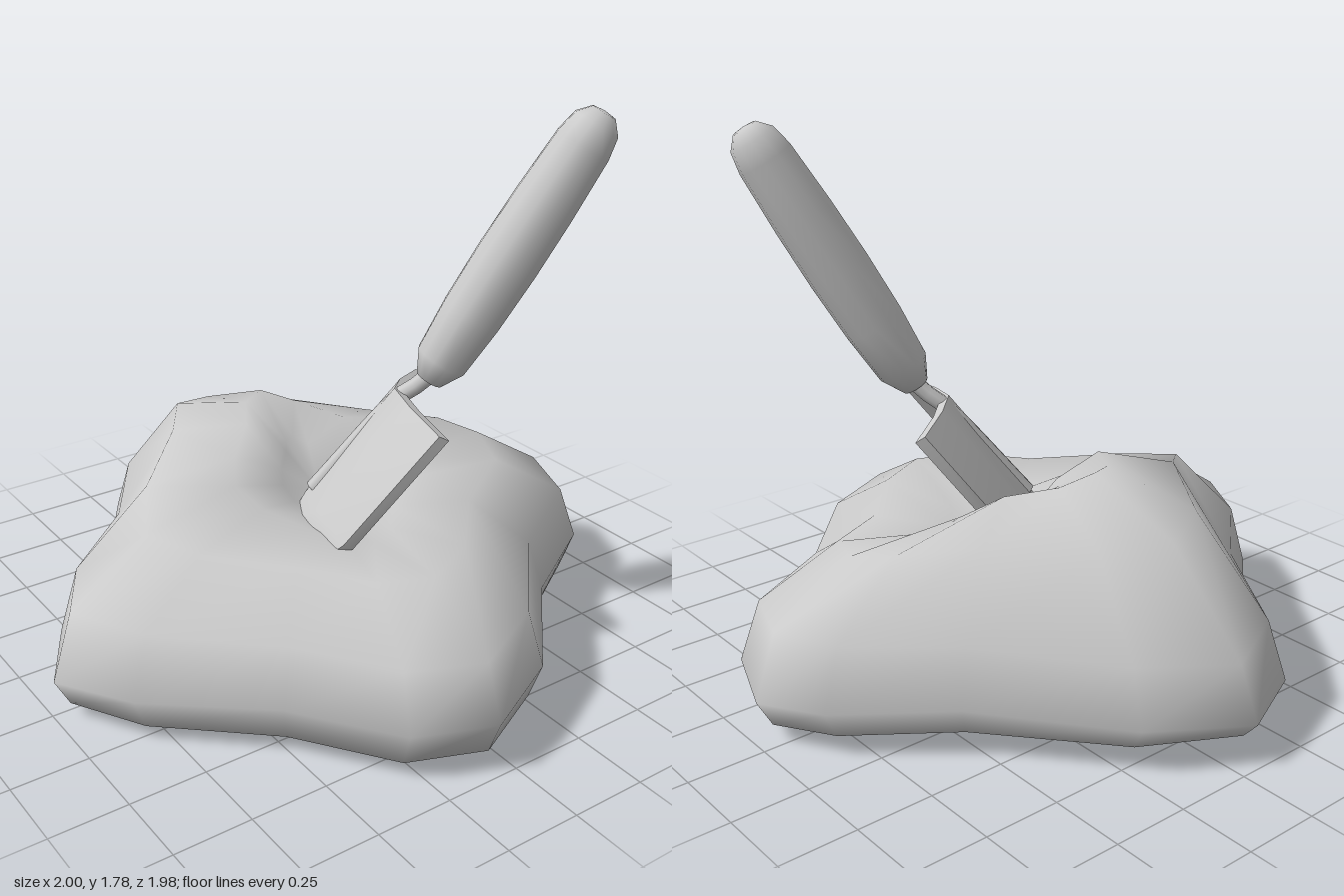
import * as THREE from 'three';
import { mergeVertices, toCreasedNormals } from 'three/addons/utils/BufferGeometryUtils.js';

const V = (x, y, z) => new THREE.Vector3(x, y, z);

// Indexed skin over a stack of closed rings of equal length
function skin(rings) {
  const n = rings[0].length, index = [];
  for (let i = 0; i + 1 < rings.length; i++) {
    for (let j = 0; j < n; j++) {
      const a = i * n + j, b = i * n + (j + 1) % n;
      index.push(a, a + n, b, b, a + n, b + n);
    }
  }
  const g = new THREE.BufferGeometry().setFromPoints(rings.flat());
  g.setIndex(index);
  const merged = mergeVertices(g, 1e-4);
  merged.computeVertexNormals();
  return merged;
}

// Place an upright geometry so that its base is at "from" and its axis points to "to"
function aim(mesh, from, to) {
  mesh.position.copy(from);
  mesh.quaternion.setFromUnitVectors(V(0, 1, 0), to.clone().sub(from).normalize());
}

// Plan outline of the sack, from the back corner round by the +x corner
const outline = [
  [-0.06, -0.99], [0.24, -0.82], [0.58, -0.42], [0.89, -0.17],
  [1.0, 0.03], [0.91, 0.28], [0.55, 0.5], [0.24, 0.84],
  [-0.06, 0.99], [-0.31, 0.89], [-0.53, 0.58], [-0.86, 0.28],
  [-1.0, 0.03], [-0.86, -0.21], [-0.56, -0.48], [-0.31, -0.88],
];

// Ring scale, then heights in eight directions: back, back +x, +x, front +x, front, front -x, -x, back -x
const levels = [
  [0, [0.02]],
  [0.72, [0.04, 0.03, 0, 0.01, 0.01, 0.02, 0.02, 0.03]],
  [0.95, [0.085, 0.08, 0.06, 0.04, 0.05, 0.05, 0.045, 0.06]],
  [1, [0.14, 0.17, 0.15, 0.17, 0.17, 0.17, 0.14, 0.16]],
  [0.93, [0.31, 0.35, 0.36, 0.34, 0.34, 0.35, 0.36, 0.36]],
  [0.66, [0.6, 0.58, 0.53, 0.48, 0.485, 0.49, 0.535, 0.68]],
  [0.33, [0.735, 0.65, 0.52, 0.445, 0.445, 0.48, 0.6, 0.715]],
  [0.15, [0.63, 0.56, 0.48, 0.43, 0.425, 0.45, 0.55, 0.62]],
  [0, [0.48]],
];

function sackGeometry() {
  return skin(levels.map(([s, h]) => outline.map(([x, z], j) => {
    const k = j >> 1, m = h.length;
    const y = j % 2 ? (h[k % m] + h[(k + 1) % m]) / 2 : h[k % m];
    return V(x * s, y, z * s);
  })));
}

// Folded blade: a thin V section swept downwards, narrowing below the surface
function bladeGeometry() {
  const edge = [V(0.11, 0.835, 0.515), V(0.14, 0.86, 0.33), V(0.175, 0.87, 0.21), V(0.26, 0.855, 0.13), V(0.395, 0.825, 0.04)];
  const thick = V(-0.028, 0.016, -0.012);
  const down = V(-0.24, -0.36, -0.15);
  const section = [...edge, ...edge.slice().reverse().map((p) => p.clone().add(thick))];
  const mid = V(0.22, 0.85, 0.25);
  const rings = [[0, 1], [1, 1], [1.25, 0.8], [1.4, 0.45]].map(([t, w]) =>
    section.map((p) => p.clone().sub(mid).multiplyScalar(w).add(mid).addScaledVector(down, t)));
  // Close an end along the centre line of the section
  const cap = (ring) => ring.map((p, i) => p.clone().add(ring[ring.length - 1 - i]).multiplyScalar(0.5));
  return toCreasedNormals(skin([cap(rings[0]), ...rings, cap(rings[3])]), 0.6);
}

export function createModel() {
  const group = new THREE.Group();
  const grey = new THREE.MeshStandardMaterial({ color: 0xcccccc });
  const thin = new THREE.MeshStandardMaterial({ color: 0xcccccc, side: THREE.DoubleSide });
  const add = (name, geometry, material = grey) => {
    const mesh = new THREE.Mesh(geometry, material);
    mesh.name = name;
    group.add(mesh);
    return mesh;
  };

  // Slumped sack with a hollow in its upper side
  add('sack', sackGeometry());

  // Trowel blade
  add('blade', bladeGeometry(), thin);

  // Neck from the handle, sinking into the blade as a low rib
  const neck = new THREE.CatmullRomCurve3([
    V(0.255, 0.96, 0.28), V(0.21, 0.9, 0.24), V(0.16, 0.85, 0.198), V(-0.07, 0.54, 0.062),
  ]);
  add('neck', new THREE.TubeGeometry(neck, 12, 0.027, 8));

  // Swelling wooden grip
  const profile = [[0, 0], [0.045, 0], [0.085, 0.075], [0.098, 0.25], [0.102, 0.45], [0.099, 0.65],
    [0.09, 0.86], [0.076, 0.93], [0.04, 0.97], [0, 0.975]].map(([r, y]) => new THREE.Vector2(r, y));
  aim(add('handle', new THREE.LatheGeometry(profile, 12)), V(0.23, 0.92, 0.265), V(0.66, 1.77, 0.525));

  return group;
}
